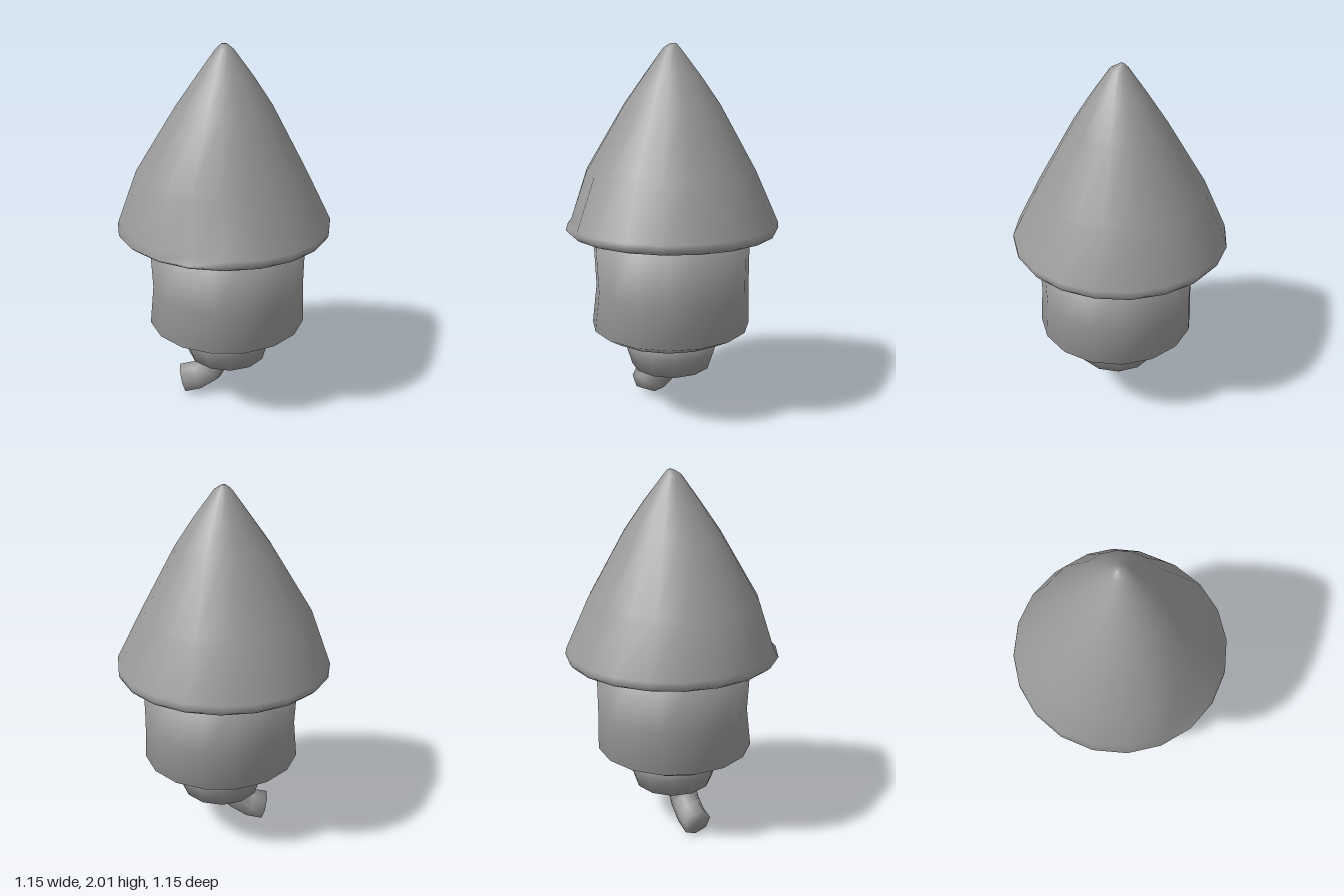
import * as THREE from 'three';

const material = new THREE.MeshStandardMaterial({ color: 0x999999 });

// Skin a stack of rings (listed bottom to top), close both ends, smooth all over.
function loft(name, rings) {
  const n = rings[0].length;
  const points = rings.flat();
  const index = [];
  for (let r = 0; r < rings.length - 1; r++) {
    for (let i = 0; i < n; i++) {
      const a = r * n + i, b = r * n + (i + 1) % n;
      index.push(a, a + n, b, b, a + n, b + n);
    }
  }
  const middle = (ring) => ring.reduce((s, p) => s.add(p), new THREE.Vector3()).divideScalar(n);
  const low = points.push(middle(rings[0])) - 1;
  const high = points.push(middle(rings[rings.length - 1])) - 1;
  const top = (rings.length - 1) * n;
  for (let i = 0; i < n; i++) {
    const j = (i + 1) % n;
    index.push(low, i, j, high, top + j, top + i);
  }
  const geometry = new THREE.BufferGeometry().setFromPoints(points);
  geometry.setIndex(index);
  geometry.computeVertexNormals();
  const mesh = new THREE.Mesh(geometry, material);
  mesh.name = name;
  return mesh;
}

// Horizontal ring from its extents; shape(angle) scales the radius.
function ring(sides, y, x0, x1, z0, z1, shape = () => 1) {
  return Array.from({ length: sides }, (_, i) => {
    const a = ((i + 0.15) / sides) * Math.PI * 2;
    const k = shape(a);
    return new THREE.Vector3(
      (x0 + x1) / 2 + Math.cos(a) * k * (x1 - x0) / 2, y,
      (z0 + z1) / 2 + Math.sin(a) * k * (z1 - z0) / 2);
  });
}

export function createModel() {
  const group = new THREE.Group();
  group.name = 'rocket';

  // Pointed cap, with two shallow dents above the front of the rim
  const bump = (a, centre, width) => Math.exp(-(((a - centre) / width) ** 2));
  const dented = (a) => 1 - 0.1 * bump(a, 0.95, 0.2) - 0.04 * bump(a, 1.6, 0.4);
  group.add(loft('noseCone', [
    ring(20, 1.03, -0.4, 0.42, -0.42, 0.41),
    ring(20, 1.015, -0.56, 0.56, -0.565, 0.555),
    ring(20, 1.035, -0.58, 0.575, -0.575, 0.578),
    ring(20, 1.065, -0.573, 0.575, -0.573, 0.57, dented),
    ring(20, 1.34, -0.45, 0.43, -0.447, 0.47),
    ring(20, 1.69, -0.24, 0.24, -0.255, 0.255),
    ring(20, 1.84, -0.14, 0.145, -0.15, 0.145),
    ring(20, 1.975, -0.045, 0.05, -0.045, 0.045),
    ring(20, 2.0, -0.02, 0.005, -0.02, 0.01),
  ]));

  // Barrel with a slight waist and a bevelled lower edge
  group.add(loft('body', [
    ring(16, 0.43, -0.22, 0.28, -0.24, 0.25),
    ring(16, 0.44, -0.33, 0.38, -0.35, 0.36),
    ring(16, 0.485, -0.41, 0.455, -0.435, 0.435),
    ring(16, 0.7, -0.4, 0.44, -0.43, 0.41),
    ring(16, 1.03, -0.41, 0.45, -0.43, 0.425),
  ]));

  // Tapered nozzle
  group.add(loft('nozzle', [
    ring(12, 0.245, -0.2, 0.245, -0.225, 0.215),
    ring(12, 0.35, -0.23, 0.27, -0.26, 0.25),
    ring(12, 0.45, -0.25, 0.285, -0.26, 0.255),
  ]));

  // Bent fuse curling forward and to one side
  const path = new THREE.CatmullRomCurve3([
    new THREE.Vector3(-0.115, 0.072, 0.215),
    new THREE.Vector3(-0.05, 0.1, 0.13),
    new THREE.Vector3(0, 0.18, 0.065),
    new THREE.Vector3(0.005, 0.3, 0.04),
  ]);
  const segments = 4, sides = 7, radius = 0.083;
  const frames = path.computeFrenetFrames(segments);
  group.add(loft('fuse', Array.from({ length: segments + 1 }, (_, s) => {
    const centre = path.getPointAt(s / segments);
    return Array.from({ length: sides }, (_, i) => {
      const a = -(i / sides) * Math.PI * 2;
      return centre.clone()
        .addScaledVector(frames.normals[s], Math.cos(a) * radius)
        .addScaledVector(frames.binormals[s], Math.sin(a) * radius);
    });
  })));

  return group;
}
